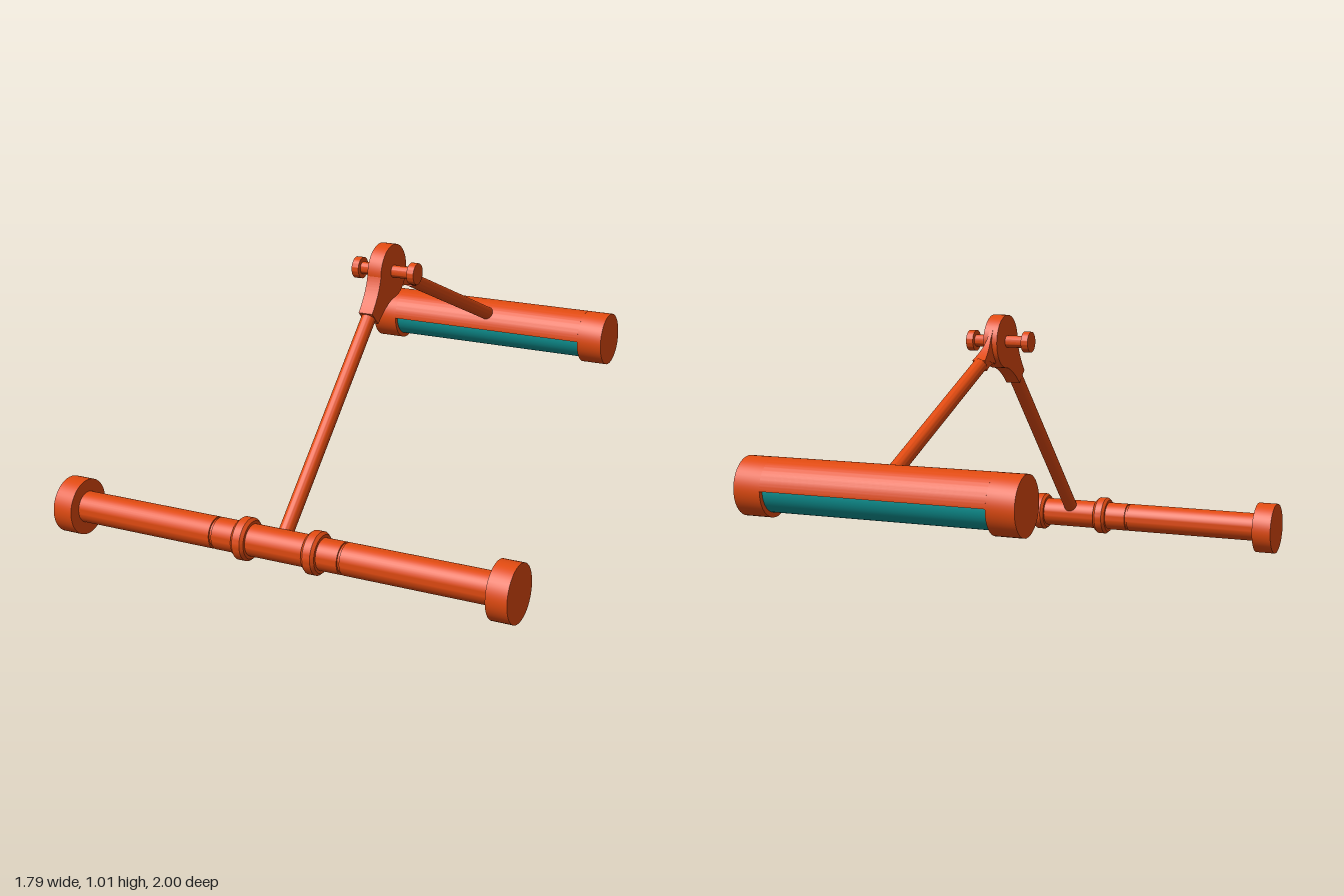
import * as THREE from 'three';
import { toCreasedNormals } from 'three/addons/utils/BufferGeometryUtils.js';

const orange = new THREE.MeshStandardMaterial({ color: 0xe04a10 });
const teal = new THREE.MeshStandardMaterial({ color: 0x0f9494 });

function part(name, geometry, material = orange) {
  const mesh = new THREE.Mesh(toCreasedNormals(geometry, 0.5), material);
  mesh.name = name;
  return mesh;
}

// Cylinder lying along x between x0 and x1
function rodX(name, r, x0, x1, material) {
  const g = new THREE.CylinderGeometry(r, r, x1 - x0, 48);
  g.rotateZ(-Math.PI / 2).translate((x0 + x1) / 2, 0, 0);
  return part(name, g, material);
}

// Shape extruded along x, centred on x = 0
function plateX(shape, width) {
  return new THREE.ExtrudeGeometry(shape, { depth: width, bevelEnabled: false, curveSegments: 32 })
    .translate(0, 0, -width / 2).rotateY(Math.PI / 2);
}

// Concave neck flaring from a rod end up to the hinge disc
function neckShape(endHalf, length) {
  const s = new THREE.Shape();
  s.moveTo(-endHalf, -length);
  s.lineTo(endHalf, -length);
  s.quadraticCurveTo(endHalf + 0.004, -0.125, 0.074, -0.068);
  s.lineTo(-0.074, -0.068);
  s.quadraticCurveTo(-endHalf - 0.004, -0.125, -endHalf, -length);
  return s;
}

// Arm hanging along local -y from the hinge
function arm(name, angle, rodStart, rodEnd, neck) {
  const g = new THREE.Group();
  g.name = name;
  g.rotation.x = angle;
  const rod = new THREE.CylinderGeometry(0.027, 0.027, rodEnd - rodStart, 32);
  g.add(part(name + 'Rod', rod.translate(0, -(rodStart + rodEnd) / 2, 0)));
  g.add(part(name + 'Neck', neck));
  return g;
}

export function createModel() {
  const model = new THREE.Group();
  model.name = 'hingedLamp';

  // Foot: long bar with collars, shallow grooves and end discs
  const base = new THREE.Group();
  base.name = 'base';
  base.position.set(0, 0.103, 0.8975);
  const R = 0.0575;
  const profile = [[0, -0.83], [R, -0.83]];
  const groove = x => profile.push([R, x - 0.005], [R - 0.006, x - 0.005], [R - 0.006, x + 0.005], [R, x + 0.005]);
  const collar = x => profile.push([R, x - 0.026], [0.068, x - 0.026], [0.077, x - 0.015],
    [0.077, x + 0.015], [0.068, x + 0.026], [R, x + 0.026]);
  groove(-0.255);
  collar(-0.137);
  collar(0.143);
  groove(0.255);
  profile.push([R, 0.83], [0, 0.83]);
  const bar = new THREE.LatheGeometry(profile.map(p => new THREE.Vector2(...p)), 48).rotateZ(-Math.PI / 2);
  base.add(part('baseBar', bar));
  base.add(rodX('leftEndDisc', 0.103, 0.818, 0.895));
  base.add(rodX('rightEndDisc', 0.103, -0.895, -0.818));
  model.add(base);

  // Hinge: disc, axle and knobs
  const hinge = new THREE.Group();
  hinge.name = 'hinge';
  hinge.position.set(0, 0.908, 0.098);
  hinge.add(rodX('hingeDisc', 0.102, -0.028, 0.028));
  hinge.add(rodX('hingeAxle', 0.023, -0.11, 0.11));
  hinge.add(rodX('leftKnob', 0.04, 0.1, 0.128));
  hinge.add(rodX('rightKnob', 0.04, -0.128, -0.1));

  // Lower arm, with a full-width neck
  hinge.add(arm('lowerArm', -0.782, 0.17, 1.1, plateX(neckShape(0.034, 0.21), 0.056)));

  // Upper arm, whose neck thins towards the disc
  const tongue = plateX(neckShape(0.022, 0.215), 2);
  const pos = tongue.attributes.position;
  for (let i = 0; i < pos.count; i++) {
    const t = THREE.MathUtils.clamp((-pos.getY(i) - 0.1) / 0.11, 0, 1);
    pos.setX(i, pos.getX(i) * THREE.MathUtils.lerp(0.007, 0.025, t));
  }
  const upper = arm('upperArm', 1.173, 0.21, 1.05, tongue);
  upper.position.y = 0.006;
  hinge.add(upper);
  model.add(hinge);

  // Head: drum with its lower half open around a coloured tube
  const head = new THREE.Group();
  head.name = 'head';
  head.position.set(0, 0.4625, -0.8945);
  const shell = new THREE.Shape();
  shell.absarc(0, 0, 0.1055, 0, Math.PI, false);
  shell.absarc(0, 0, 0.089, Math.PI, 0, true);
  head.add(part('headShell', plateX(shell, 0.842)));
  head.add(rodX('leftHeadEnd', 0.1055, 0.42, 0.523));
  head.add(rodX('rightHeadEnd', 0.1055, -0.523, -0.42));
  head.add(rodX('lightTube', 0.0875, -0.421, 0.421, teal));
  model.add(head);

  return model;
}
